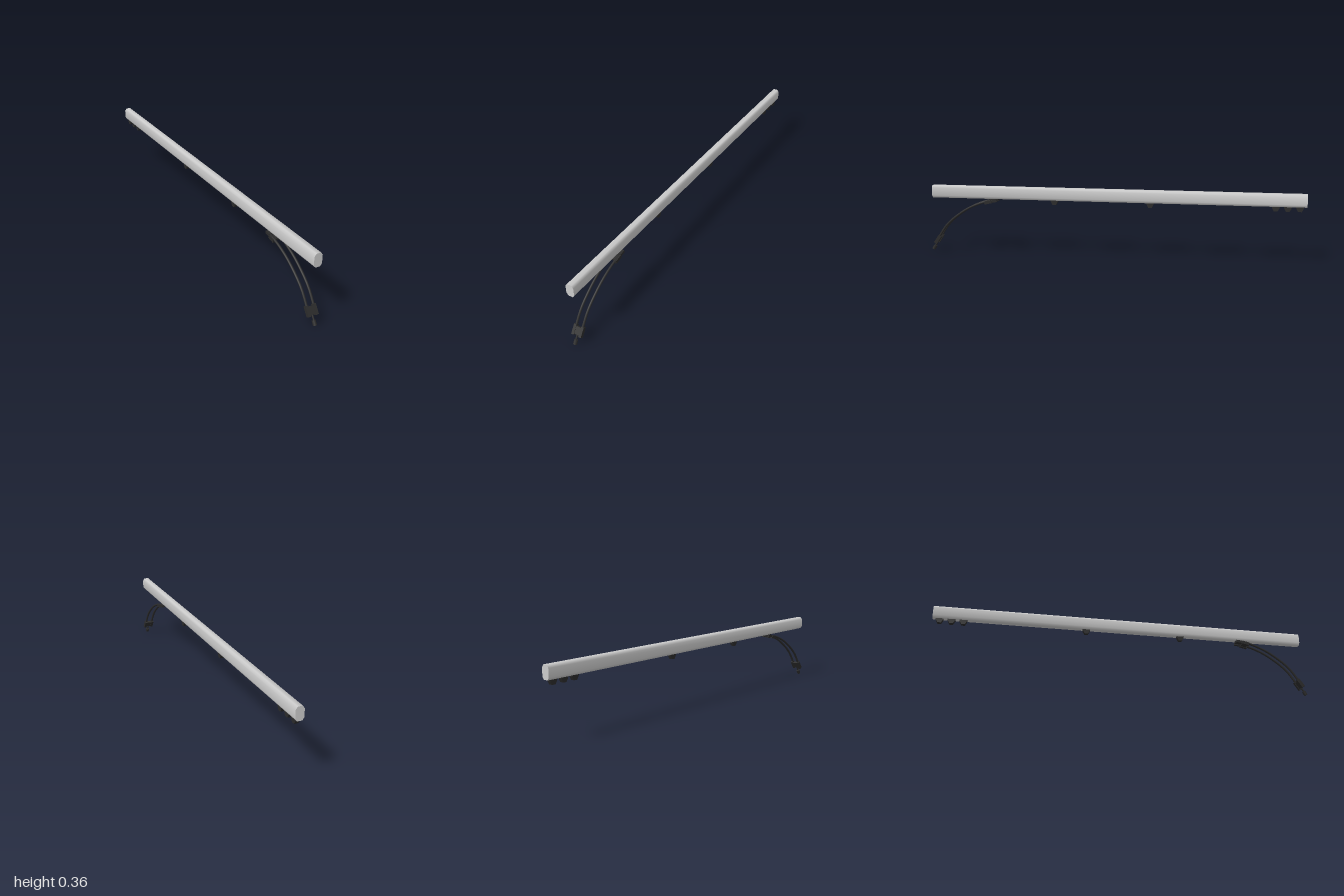
import * as THREE from 'three';

export function createModel() {
  const model = new THREE.Group();
  const grey = new THREE.MeshStandardMaterial({ color: 0xcbcbcb });
  grey.name = 'light grey';
  const black = new THREE.MeshStandardMaterial({ color: 0x2b2b2b });
  black.name = 'dark rubber';

  const add = (name, geometry, material, x = 0, y = 0, z = 0, tilt = 0) => {
    const mesh = new THREE.Mesh(geometry, material);
    mesh.name = name;
    mesh.position.set(x, y, z);
    mesh.rotation.x = tilt;
    model.add(mesh);
    return mesh;
  };
  const box = (name, w, h, d, x, y, z, tilt) =>
    add(name, new THREE.BoxGeometry(w, h, d), black, x, y, z, tilt);

  // Boom: tube with a chamfered section, seam hidden under the flat underside
  const w = 0.021, top = 0.363, bottom = 0.296, cx = 0.009, cy = 0.013;
  const side = [[w - cx, bottom], [w, bottom + cy], [w, top - cy], [w - cx, top]];
  const section = [[0, bottom], ...side, ...side.map(([x, y]) => [-x, y]).reverse()];
  const boom = new THREE.CylinderGeometry(1, 1, 1.98, 9).rotateX(Math.PI / 2);
  const pos = boom.attributes.position;
  for (let i = 0; i < pos.count; i++) {
    const x = pos.getX(i), y = pos.getY(i);
    if (Math.hypot(x, y) < 0.5) {
      pos.setXY(i, 0, (top + bottom) / 2);
      continue;
    }
    const k = (Math.round(Math.atan2(x, -y) * 9 / (2 * Math.PI)) + 9) % 9;
    pos.setXY(i, ...section[k]);
  }
  boom.computeVertexNormals();
  add('boom', boom, grey, 0, 0, -0.01);

  // Line guides: small tapered lugs under the boom
  const lug = new THREE.Shape([
    [-0.021, 0.003], [-0.018, -0.009], [-0.009, -0.025], [0.009, -0.025], [0.018, -0.009], [0.021, 0.003],
  ].map(([x, y]) => new THREE.Vector2(x, y)));
  const lugGeometry = new THREE.ExtrudeGeometry(lug, { depth: 0.02, bevelEnabled: false })
    .translate(0, 0, -0.01).rotateY(Math.PI / 2);
  for (const z of [0.305, -0.205, -0.845, -0.905, -0.965]) add('lineGuide', lugGeometry, black, 0, 0.297, z);

  // Pair of curved cords with a clamp at each end
  const path = [[0.288, 0.625], [0.281, 0.68], [0.247, 0.77], [0.203, 0.84], [0.147, 0.905], [0.062, 0.963]];
  for (const s of [-1, 1]) {
    const curve = new THREE.CatmullRomCurve3(path.map(([y, z]) => new THREE.Vector3(s * 0.018, y, z)));
    add('cord', new THREE.TubeGeometry(curve, 14, 0.006, 8), black);
    box('upperClamp', 0.014, 0.017, 0.04, s * 0.02, 0.279, 0.667, 0.22);
    box('upperEnd', 0.012, 0.014, 0.03, s * 0.018, 0.287, 0.632, 0.1);
    box('lowerClamp', 0.014, 0.05, 0.018, s * 0.02, 0.064, 0.96, -0.6);
  }
  box('upperBridge', 0.034, 0.01, 0.03, 0, 0.279, 0.665, 0.22);
  box('boomMount', 0.022, 0.012, 0.04, 0, 0.292, 0.635);
  box('lowerBridge', 0.034, 0.038, 0.012, 0, 0.064, 0.961, -0.6);

  // Neck and end knob
  add('neck', new THREE.CylinderGeometry(0.0045, 0.0045, 0.04, 8), black, 0, 0.036, 0.977, -0.55);
  add('endKnob', new THREE.CylinderGeometry(0.0095, 0.0095, 0.023, 10), black, 0, 0.015, 0.988, -0.55);
  return model;
}
